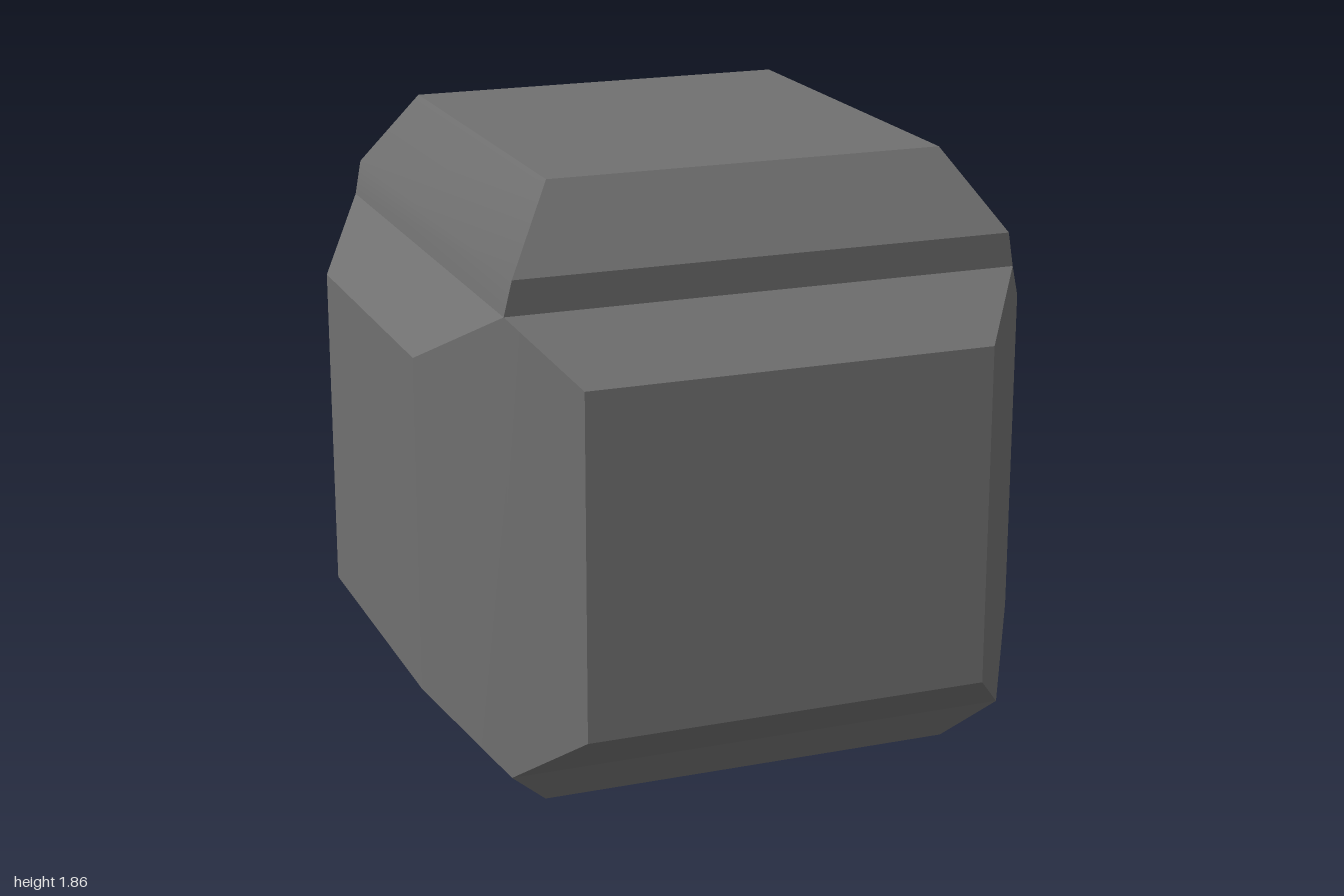
import * as THREE from 'three';
import { toCreasedNormals } from 'three/addons/utils/BufferGeometryUtils.js';

// Four corners of a horizontal rectangle, counter-clockwise seen from above
const ring = (x, y, z) => [[x, y, z], [x, y, -z], [-x, y, -z], [-x, y, z]];

// Outward quads joining a lower ring to an upper one
const strip = (low, high) => low.map((p, i) => {
  const j = (i + 1) % 4;
  return [p, low[j], high[j], high[i]];
});

// Edges bent by more than the crease angle (radians) stay sharp
function meshFromQuads(name, quads, crease) {
  const points = quads.flatMap(([a, b, c, d]) => [a, b, c, a, c, d]).flat();
  const geometry = new THREE.BufferGeometry();
  geometry.setAttribute('position', new THREE.Float32BufferAttribute(points, 3));
  const material = new THREE.MeshStandardMaterial({ color: 0x707070 });
  const mesh = new THREE.Mesh(toCreasedNormals(geometry, crease), material);
  mesh.name = name;
  return mesh;
}

export function createModel() {
  const group = new THREE.Group();
  group.name = 'bevelledBlock';

  const bottom = ring(0.645, 0, 0.685);
  const lower = ring(0.78, 0.135, 0.79);
  const upper = ring(0.78, 1.515, 0.79);
  const rim = ring(0.758, 1.62, 0.8);
  const top = ring(0.603, 1.855, 0.64);

  // Base: tapered foot with a flat underside
  group.add(meshFromQuads('base', [[...bottom].reverse(), ...strip(bottom, lower)], 0.5));

  // Body: a raised panel on each side with bevels below and beside it;
  // the bevels above the panels are the shoulders of the lid
  const body = [];
  const shoulders = [];
  for (let i = 0; i < 4; i++) {
    const j = (i + 1) % 4;
    const frontOrBack = i % 2 === 1;
    const low = frontOrBack ? ring(0.62, 0.305, 1) : ring(0.958, 0.32, 0.492);
    const high = frontOrBack ? ring(0.62, 1.345, 1) : ring(0.958, 1.335, 0.492);
    body.push(
      [low[i], low[j], high[j], high[i]],
      [lower[i], lower[j], low[j], low[i]],
      [lower[i], low[i], high[i], upper[i]],
      [low[j], lower[j], upper[j], high[j]],
    );
    shoulders.push([high[i], high[j], upper[j], upper[i]]);
  }
  group.add(meshFromQuads('body', body, 0.5));

  // Lid: shoulders, narrow neck, sloped sides and flat top
  const lid = [...shoulders, ...strip(upper, rim), ...strip(rim, top), top];
  group.add(meshFromQuads('lid', lid, 0.56));

  return group;
}
